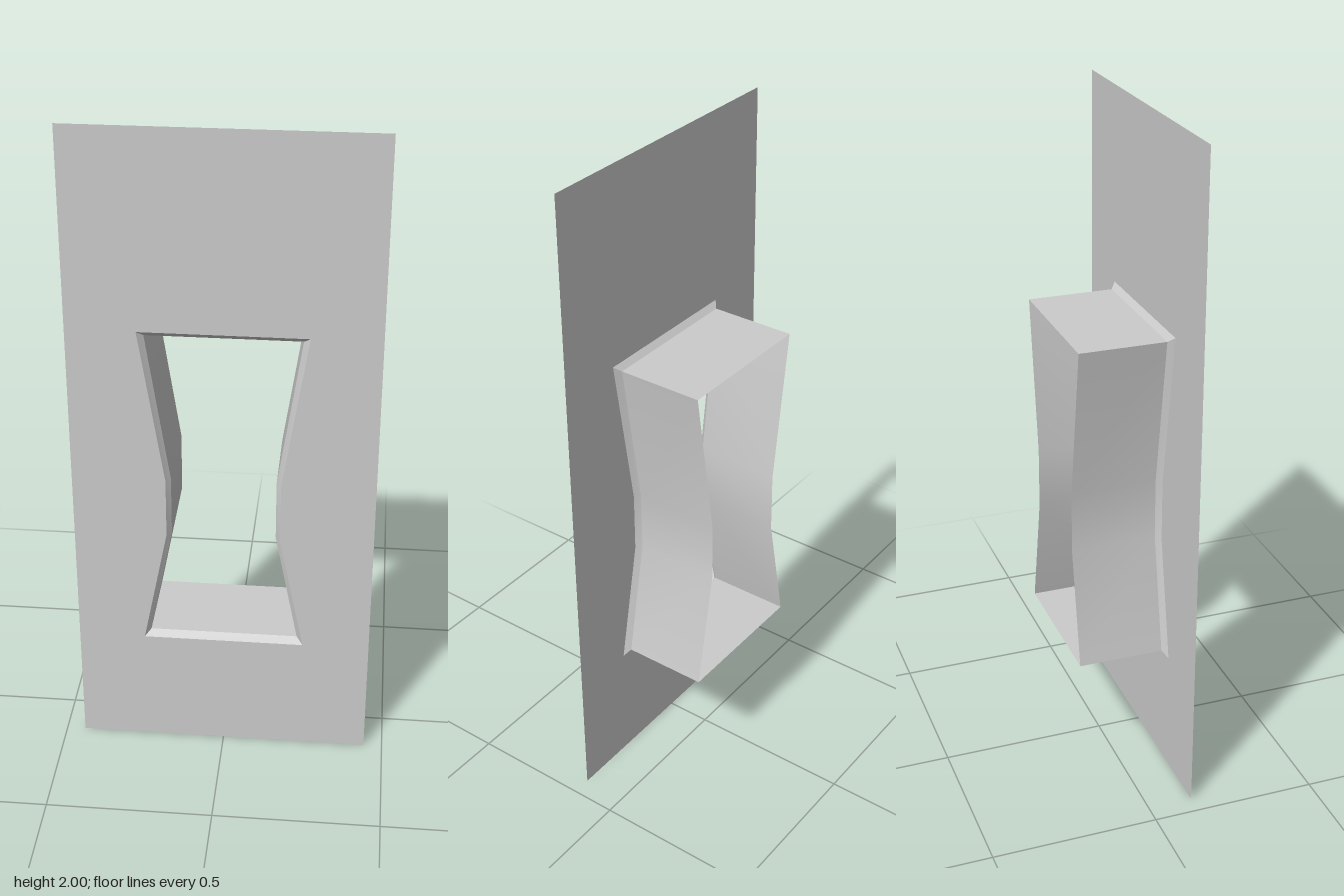
import * as THREE from 'three';
import { toCreasedNormals } from 'three/addons/utils/BufferGeometryUtils.js';

const FRONT = 0.136, LIP = 0.12, BACK = -0.138;

// Waisted opening outline, counter-clockwise from the front
function outline(half, waist, bottom, top) {
  const side = [[half, bottom], [waist, 0.75], [waist, 0.935], [half, top]];
  const mirrored = side.map(([x, y]) => [-x, y]).reverse();
  return [...side, ...mirrored].map(([x, y]) => new THREE.Vector2(x, y));
}

// Band of quads between two matching loops, facing into the opening
function band(loopA, zA, loopB, zB) {
  const pos = [];
  const n = loopA.length;
  for (let i = 0; i < n; i++) {
    const j = (i + 1) % n;
    const a0 = [loopA[i].x, loopA[i].y, zA], a1 = [loopA[j].x, loopA[j].y, zA];
    const b0 = [loopB[i].x, loopB[i].y, zB], b1 = [loopB[j].x, loopB[j].y, zB];
    pos.push(...a0, ...a1, ...b1, ...a0, ...b1, ...b0);
  }
  const geo = new THREE.BufferGeometry();
  geo.setAttribute('position', new THREE.Float32BufferAttribute(pos, 3));
  return toCreasedNormals(geo, 0.5);
}

export function createModel() {
  const group = new THREE.Group();
  group.name = 'wallWithWindow';
  const material = new THREE.MeshStandardMaterial({ color: 0xcccccc, side: THREE.DoubleSide });
  const add = (name, geometry) => {
    const mesh = new THREE.Mesh(geometry, material);
    mesh.name = name;
    group.add(mesh);
    return mesh;
  };

  const outer = outline(0.242, 0.168, 0.375, 1.41);
  const inner = outline(0.223, 0.154, 0.395, 1.394);

  // Thin wall panel with the opening cut out
  const wall = new THREE.Shape([[-0.443, 0], [0.443, 0], [0.443, 2], [-0.443, 2]]
    .map(([x, y]) => new THREE.Vector2(x, y)));
  wall.holes.push(new THREE.Path(outer.slice().reverse()));
  add('wallPanel', new THREE.ShapeGeometry(wall)).position.z = FRONT;

  // Chamfered rim, then the open-backed reveal behind it
  add('windowBevel', band(outer, FRONT, inner, LIP));
  add('windowReveal', band(inner, LIP, inner, BACK));

  return group;
}
